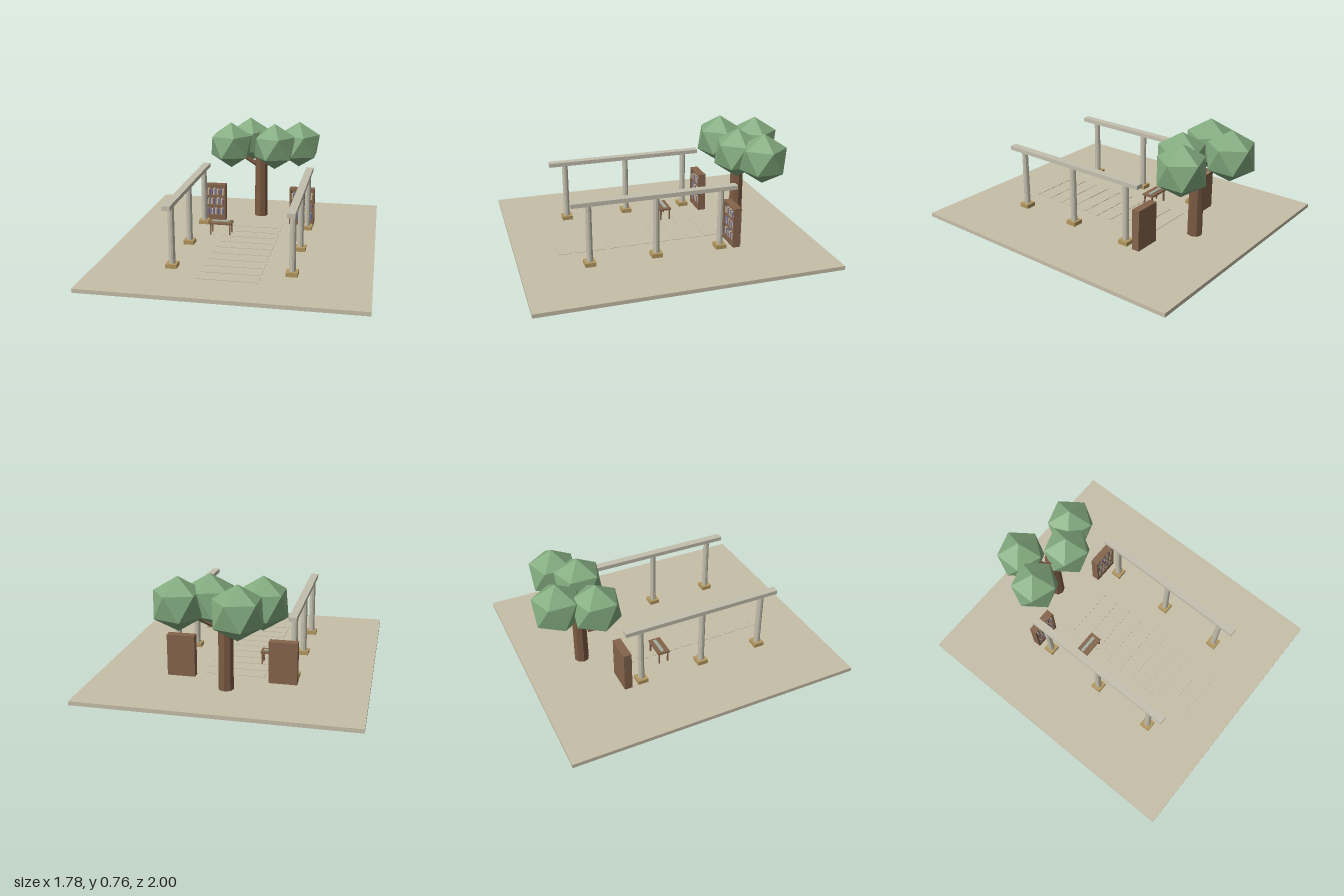
import * as THREE from 'three';
import { ConvexGeometry } from 'three/addons/geometries/ConvexGeometry.js';

const mat = (name, color, flatShading = false) => {
  const m = new THREE.MeshStandardMaterial({ color, flatShading });
  m.name = name;
  return m;
};

export function createModel() {
  const root = new THREE.Group();
  root.name = 'gardenLibrary';
  const M = {
    ground: mat('sandstone', 0xc6bea8),
    stone: mat('paleStone', 0xc4bfae, true),
    plinth: mat('ochreStone', 0xb3985f),
    wood: mat('wood', 0x85654c),
    bark: mat('bark', 0x7b5b43, true),
    leaf: mat('leaf', 0x82aa7e, true),
    paper: mat('greenGrayCloth', 0xa3b0a2),
    bookA: mat('blueBook', 0x73779c),
    bookB: mat('creamBook', 0xcdb88f),
    bookC: mat('mauveBook', 0x87697a),
  };

  const add = (parent, name, geo, material, x = 0, y = 0, z = 0) => {
    const mesh = new THREE.Mesh(geo, material);
    mesh.name = name;
    mesh.position.set(x, y, z);
    parent.add(mesh);
    return mesh;
  };
  // Box given by its lower and upper corners
  const box = (parent, name, material, [x0, y0, z0], [x1, y1, z1]) =>
    add(parent, name, new THREE.BoxGeometry(x1 - x0, y1 - y0, z1 - z0), material,
      (x0 + x1) / 2, (y0 + y1) / 2, (z0 + z1) / 2);
  const group = (name, parent = root) => {
    const g = new THREE.Group();
    g.name = name;
    parent.add(g);
    return g;
  };

  const F = 0.026; // floor level

  // Floor and low paving slabs
  box(root, 'floor', M.ground, [-0.888, 0, -1], [0.888, F, 1]);
  const path = group('pavingPath');
  for (let i = 0; i < 10; i++) {
    const z = 0.72 - i * 0.113;
    box(path, 'pavingSlab', M.ground, [-0.2, F - 0.002, z - 0.09], [0.2, F + 0.003, z]);
  }

  // Two colonnades, each with three columns under a beam
  for (const side of [-1, 1]) {
    const row = group(side > 0 ? 'leftColonnade' : 'rightColonnade');
    const x = side * 0.388;
    for (const z of [0.555, 0.11, -0.335]) {
      box(row, 'plinth', M.plinth, [x - 0.037, F, z - 0.036], [x + 0.037, 0.054, z + 0.036]);
      add(row, 'column', new THREE.CylinderGeometry(0.0205, 0.0215, 0.384, 10), M.stone, x, 0.246, z);
    }
    box(row, 'beam', M.stone, [x - 0.026, 0.438, -0.443], [x + 0.026, 0.466, 0.667]);
  }

  // Bookcases
  const x0 = -0.0925, x1 = 0.0925, zb = -0.47, zf = -0.416, top = 0.305;
  const books = [M.bookA, M.bookB, M.bookC, M.bookA, M.bookB];
  for (const side of [-1, 1]) {
    const shelf = group(side > 0 ? 'leftBookcase' : 'rightBookcase');
    shelf.position.x = side * 0.336;
    box(shelf, 'backPanel', M.wood, [x0, F, zb], [x1, top, zb + 0.012]);
    box(shelf, 'sidePanel', M.wood, [x0, F, zb + 0.012], [x0 + 0.012, top, zf]);
    box(shelf, 'sidePanel', M.wood, [x1 - 0.012, F, zb + 0.012], [x1, top, zf]);
    box(shelf, 'topBoard', M.wood, [x0 + 0.012, top - 0.012, zb + 0.012], [x1 - 0.012, top, zf]);
    box(shelf, 'kickBoard', M.wood, [x0 + 0.012, F, zb + 0.012], [x1 - 0.012, 0.068, zf]);
    [0.068, 0.147, 0.222].forEach((y, r) => {
      if (r) box(shelf, 'shelfBoard', M.wood, [x0 + 0.012, y - 0.01, zb + 0.012], [x1 - 0.012, y, zf]);
      for (let i = 0; i < 11; i++) {
        const bx = x0 + 0.015 + i * 0.0143;
        const h = 0.038 + ((i * 3 + r * 2) % 4) * 0.003;
        box(shelf, 'book', books[(i + r * 2) % 5], [bx, y, zb + 0.012], [bx + 0.011, y + h, zf - 0.006]);
      }
    });
  }

  // Small table with a runner on top
  const table = group('table');
  box(table, 'tableTop', M.wood, [-0.296, 0.105, -0.165], [-0.131, 0.117, -0.079]);
  for (const x of [-0.284, -0.143])
    for (const z of [-0.154, -0.09])
      box(table, 'tableLeg', M.wood, [x - 0.005, F, z - 0.005], [x + 0.005, 0.105, z + 0.005]);
  box(table, 'tableRunner', M.paper, [-0.283, 0.117, -0.138], [-0.151, 0.123, -0.117]);

  // Tree: trunk, branches and faceted crowns
  const tree = group('tree');
  add(tree, 'trunk', new THREE.CylinderGeometry(0.046, 0.05, 0.56, 8), M.bark, 0, F + 0.28, -0.61);

  const R = 0.174;
  const points = [new THREE.Vector3(0, R, 0), new THREE.Vector3(0, -R, 0)];
  for (let i = 0; i < 10; i++) {
    const a = i * Math.PI / 5;
    points.push(new THREE.Vector3(
      Math.cos(a) * R * 0.8944, (i % 2 ? -1 : 1) * R * 0.4472, Math.sin(a) * R * 0.8944));
  }
  const crownGeo = new ConvexGeometry(points);
  const start = new THREE.Vector3(0, 0.41, -0.61);
  for (const [x, z] of [[-0.225, -0.56], [-0.115, -0.783], [0.28, -0.675], [0.108, -0.56]]) {
    add(tree, 'crown', crownGeo, M.leaf, x, 0.584, z);
    const dir = new THREE.Vector3(x, 0.565, z).sub(start);
    const branch = add(tree, 'branch',
      new THREE.CylinderGeometry(0.012, 0.018, dir.length(), 6), M.bark);
    branch.position.copy(start).addScaledVector(dir, 0.5);
    branch.quaternion.setFromUnitVectors(new THREE.Vector3(0, 1, 0), dir.clone().normalize());
  }

  return root;
}
